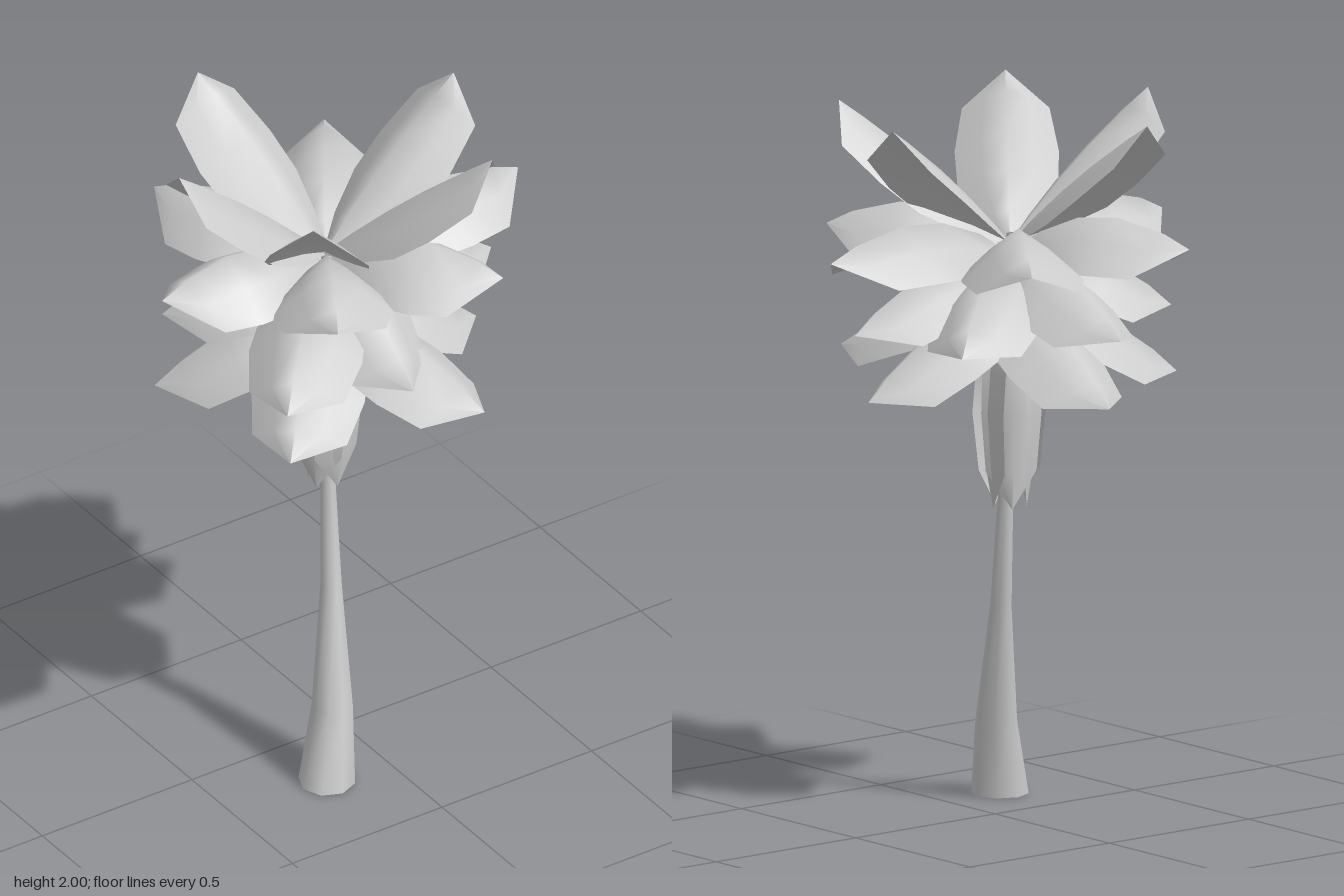
import * as THREE from 'three';
import { mergeVertices } from 'three/addons/utils/BufferGeometryUtils.js';

const RAD = Math.PI / 180;
const material = new THREE.MeshStandardMaterial({ color: 0xcccccc, side: THREE.DoubleSide });

// Leaf: folded blade swept along an arched ridge from base to tip
const BLADE = [[0, 0.06], [0.18, 0.6], [0.4, 0.96], [0.62, 1], [0.87, 0.84], [1, 0]]; // [t, width]
const ACROSS = [-1, -0.5, 0, 0.5, 1];

function leafGeometry(base, control, tip, halfWidth, fold) {
  const ridge = new THREE.QuadraticBezierCurve3(base, control, tip);
  const outward = tip.clone().sub(base).setY(0).normalize();
  const side = new THREE.Vector3(outward.z, 0, -outward.x);
  const positions = [], index = [];
  const n = ACROSS.length;
  BLADE.forEach(([t, w], i) => {
    const centre = ridge.getPoint(t);
    const normal = ridge.getTangent(t).cross(side).normalize();
    for (const u of ACROSS) {
      const p = centre.clone()
        .addScaledVector(side, u * w * halfWidth)
        .addScaledVector(normal, -fold * w * Math.abs(u) ** 1.2);
      positions.push(p.x, p.y, p.z);
    }
    if (i === 0) return;
    for (let k = 0; k < n - 1; k++) {
      const a = (i - 1) * n + k, b = i * n + k;
      index.push(a, a + 1, b, a + 1, b + 1, b);
    }
  });
  const g = new THREE.BufferGeometry();
  g.setAttribute('position', new THREE.Float32BufferAttribute(positions, 3));
  g.setIndex(index);
  g.computeVertexNormals();
  return g;
}

// Tiers of leaves: each leaf is [angle, reach of tip, extra tip height]; bend places the arch control
const TIERS = [
  { name: 'topLeaf', leaves: [[-7, 0.47], [49, 0.48], [128, 0.48], [186, 0.46], [255, 0.47]],
    centre: [-0.06, 0.01], baseY: 1.61, tipY: 2.0, bend: [0.45, 1.83], halfWidth: 0.145, fold: 0.085 },
  { name: 'upperLeaf', leaves: [[0, 0.59], [60, 0.5], [125, 0.5], [180, 0.6], [238, 0.57], [299, 0.57]],
    centre: [0, 0], baseY: 1.58, tipY: 1.64, bend: [0.45, 1.81], halfWidth: 0.17, fold: 0.135 },
  { name: 'middleLeaf',
    leaves: [[3, 0.5], [95, 0.44, -0.05], [137, 0.6], [205, 0.49], [267, 0.5], [322, 0.48, -0.03]],
    centre: [-0.01, -0.01], baseY: 1.54, tipY: 1.42, bend: [0.45, 1.67], halfWidth: 0.16, fold: 0.12 },
  { name: 'lowerLeaf', leaves: [[0, 0.48], [68, 0.51, 0.05], [138, 0.48], [205, 0.5], [272, 0.49]],
    centre: [-0.05, 0.03], baseY: 1.42, tipY: 1.22, bend: [0.45, 1.49], halfWidth: 0.16, fold: 0.11 },
  { name: 'hangingLeaf', leaves: [[10, 0.05], [82, 0.05], [154, 0.05], [226, 0.05], [298, 0.05]],
    centre: [-0.07, 0.025], baseY: 1.4, tipY: 0.86, bend: [2.7, 1.27], halfWidth: 0.085, fold: 0.04 },
];

function buildTier(tier) {
  const group = new THREE.Group();
  group.name = tier.name + 'Tier';
  const base = new THREE.Vector3(-0.065, tier.baseY, 0.013);
  for (const [degrees, reach, lift = 0] of tier.leaves) {
    const a = degrees * RAD;
    const tip = new THREE.Vector3(
      tier.centre[0] + reach * Math.cos(a), tier.tipY + lift,
      tier.centre[1] + reach * Math.sin(a));
    const control = base.clone().lerp(tip, tier.bend[0]).setY(tier.bend[1]);
    const mesh = new THREE.Mesh(
      leafGeometry(base, control, tip, tier.halfWidth, tier.fold), material);
    mesh.name = tier.name;
    group.add(mesh);
  }
  return group;
}

// Trunk: leaning, tapering open tube; rings are [x, y, z, radius]
const RINGS = [
  [-0.19, 0, 0.21, 0.08], [-0.148, 0.22, 0.175, 0.058], [-0.097, 0.56, 0.093, 0.03],
  [-0.08, 0.9, 0.05, 0.021], [-0.067, 1.3, 0.02, 0.016], [-0.062, 1.64, 0.01, 0.01],
];

function buildTrunk() {
  const tube = new THREE.CylinderGeometry(1, 1, 1, 8, RINGS.length - 1, true);
  tube.deleteAttribute('uv');
  tube.deleteAttribute('normal');
  const g = mergeVertices(tube);
  const p = g.attributes.position;
  for (let i = 0; i < p.count; i++) {
    const [x, y, z, r] = RINGS[Math.round((p.getY(i) + 0.5) * (RINGS.length - 1))];
    p.setXYZ(i, x + p.getX(i) * r, y, z + p.getZ(i) * r);
  }
  g.computeVertexNormals();
  const trunk = new THREE.Mesh(g, material);
  trunk.name = 'trunk';
  return trunk;
}

export function createModel() {
  const model = new THREE.Group();
  model.name = 'palmTree';
  model.add(buildTrunk(), ...TIERS.map(buildTier));
  return model;
}
